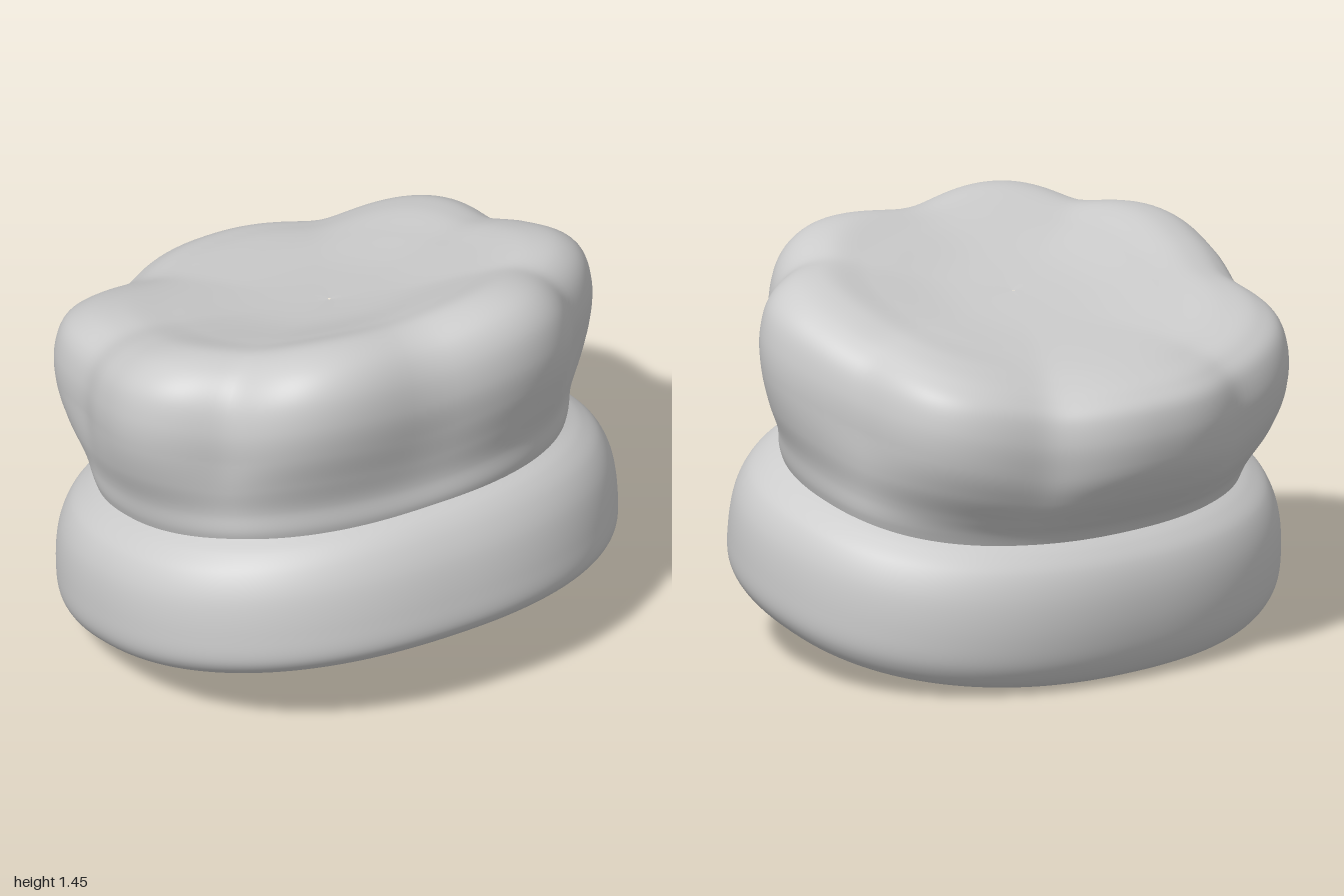
import * as THREE from 'three';

const SEGMENTS = 168;
const STEPS = 8; // smooth steps between neighbouring rings
const LOBES = 7;

// Signed power, gives slightly squared ovals
const spow = (v, p) => Math.sign(v) * Math.abs(v) ** p;

// Skins a stack of tilted oval rings.
// Each ring: [front z, front y, back z, back y, half width, lobe strength]
function loft(name, rings, centreZ, material) {
  const front = new THREE.CatmullRomCurve3(rings.map(r => new THREE.Vector3(r[0], r[1], r[4])));
  const back = new THREE.CatmullRomCurve3(rings.map(r => new THREE.Vector3(r[2], r[3], r[5])));
  const rows = (rings.length - 1) * STEPS;
  const positions = [];
  const index = [];
  for (let i = 0; i <= rows; i++) {
    const { x: zf, y: yf, z: half } = front.getPoint(i / rows);
    const { x: zb, y: yb, z: strength } = back.getPoint(i / rows);
    for (let j = 0; j < SEGMENTS; j++) {
      const a = (j / SEGMENTS) * Math.PI * 2;
      const s = Math.sin(a);
      const c = Math.cos(a);
      // 1 on the crest of a puff, 0 in the fold between two puffs
      const puff = (Math.sqrt(Math.sin(a * LOBES / 2) ** 2 + 0.09) - 0.3) / 0.744;
      const fold = strength * (1 - puff);
      const scale = 1 - 0.07 * fold;
      const depth = c > 0 ? zf - centreZ : centreZ - zb;
      const x = half * spow(s, 0.88) * scale;
      const z = centreZ + depth * spow(c, 0.88) * scale;
      const t = (z - zb) / Math.max(zf - zb, 0.001);
      const y = yb + (yf - yb) * t - 0.04 * fold + 0.035 * strength * s * s;
      positions.push(x, y, z);
      if (i < rows) {
        const k = (j + 1) % SEGMENTS;
        const p = i * SEGMENTS;
        const q = p + SEGMENTS;
        index.push(p + j, p + k, q + k, p + j, q + k, q + j);
      }
    }
  }
  const geometry = new THREE.BufferGeometry();
  geometry.setAttribute('position', new THREE.Float32BufferAttribute(positions, 3));
  geometry.setIndex(index);
  geometry.computeVertexNormals();
  const mesh = new THREE.Mesh(geometry, material);
  mesh.name = name;
  return mesh;
}

export function createModel() {
  const hat = new THREE.Group();
  hat.name = 'puffyHat';
  const material = new THREE.MeshStandardMaterial({ color: 0xcccccc });

  // Thick rounded band with a closed, barely domed underside
  hat.add(loft('headband', [
    [0.055, 0.112, 0.045, 0.112, 0.005, 0],
    [0.45, 0.205, -0.32, 0.04, 0.48, 0],
    [0.74, 0.275, -0.58, 0.004, 0.83, 0],
    [0.84, 0.31, -0.68, 0.015, 0.94, 0],
    [0.88, 0.37, -0.74, 0.085, 0.99, 0],
    [0.87, 0.48, -0.768, 0.20, 1.0, 0],
    [0.835, 0.61, -0.765, 0.34, 0.985, 0],
    [0.79, 0.69, -0.735, 0.435, 0.945, 0],
    [0.74, 0.74, -0.69, 0.49, 0.885, 0],
    [0.68, 0.77, -0.64, 0.53, 0.82, 0],
  ], 0.05, material));

  // Crown of seven puffs, swelling from the band to a dished top
  hat.add(loft('crown', [
    [0.67, 0.70, -0.63, 0.47, 0.82, 0],
    [0.695, 0.79, -0.665, 0.55, 0.855, 0.1],
    [0.695, 0.88, -0.72, 0.61, 0.875, 0.3],
    [0.725, 1.0, -0.81, 0.71, 0.925, 0.7],
    [0.76, 1.13, -0.87, 0.83, 0.955, 1],
    [0.77, 1.25, -0.88, 0.93, 0.955, 1],
    [0.745, 1.36, -0.86, 1.02, 0.925, 1],
    [0.68, 1.435, -0.80, 1.075, 0.85, 0.9],
    [0.56, 1.46, -0.69, 1.115, 0.72, 0.65],
    [0.41, 1.40, -0.52, 1.15, 0.54, 0.2],
    [0.22, 1.315, -0.28, 1.19, 0.28, 0.02],
    [0.005, 1.25, -0.005, 1.25, 0.005, 0],
  ], 0, material));

  return hat;
}
